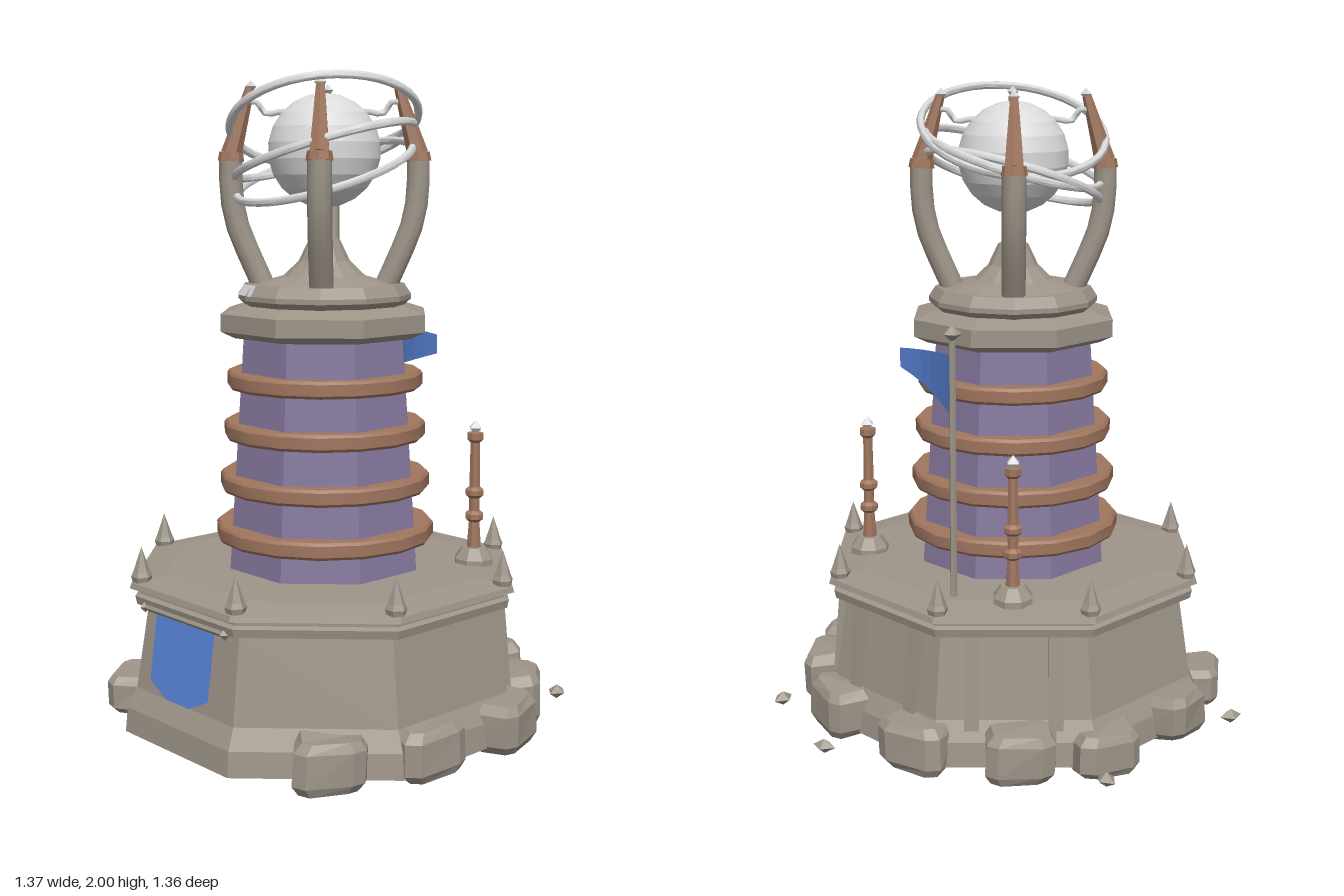
import * as THREE from 'three';
import { toCreasedNormals } from 'three/addons/utils/BufferGeometryUtils.js';

const paint = (name, color, side = THREE.FrontSide) => {
  const m = new THREE.MeshStandardMaterial({ color, side });
  m.name = name;
  return m;
};
const V = (x, y, z) => new THREE.Vector3(x, y, z);
const CX = 0.026, CZ = 0.087; // axis of the tower

export function createModel() {
  const stone = paint('stone', 0x9e9589);
  const copper = paint('copper', 0xa0765f);
  const purple = paint('purple wall', 0x877a9f);
  const silver = paint('silver', 0xdadada);
  const blue = paint('blue cloth', 0x5a86dc, THREE.DoubleSide);

  const root = new THREE.Group();
  root.name = 'orreryTower';
  const tower = new THREE.Group();
  tower.name = 'tower';
  tower.position.set(CX, 0, CZ);
  root.add(tower);

  // Mesh whose edges stay sharp above the crease angle (0 is fully faceted)
  const add = (parent, name, geo, mat, crease = 0) => {
    let g;
    if (crease) g = toCreasedNormals(geo, crease);
    else {
      g = geo.index ? geo.toNonIndexed() : geo;
      g.computeVertexNormals();
    }
    const mesh = new THREE.Mesh(g, mat);
    mesh.name = name;
    parent.add(mesh);
    return mesh;
  };
  // Lathe with flat sides to the front; widths are given across the flats
  const turned = (parent, name, pts, sides, mat) => {
    const k = 1 / Math.cos(Math.PI / sides);
    const profile = pts.map(([r, y]) => new THREE.Vector2(r * k, y));
    return add(parent, name, new THREE.LatheGeometry(profile, sides, Math.PI / sides), mat);
  };
  // Straight tapered rod between two points
  const rod = (parent, name, a, b, r0, r1, mat, sides = 8) => {
    const d = b.clone().sub(a);
    const m = add(parent, name, new THREE.CylinderGeometry(r1, r0, d.length(), sides), mat);
    m.position.copy(a).add(b).multiplyScalar(0.5);
    m.quaternion.setFromUnitVectors(V(0, 1, 0), d.normalize());
    return m;
  };

  // Hollow octagonal base with flared foot, moulded rim and deck
  turned(tower, 'base', [
    [0, 0.41], [0.47, 0.41], [0.55, 0.035], [0.595, 0.035], [0.588, 0.11], [0.56, 0.17],
    [0.522, 0.425], [0.555, 0.43], [0.56, 0.455], [0.545, 0.462], [0.545, 0.472],
    [0.575, 0.48], [0.57, 0.497], [0.47, 0.512], [0, 0.512]], 8, stone);

  // Paired pilasters on the three rear walls
  for (const turn of [-1, 0, 1]) {
    const wall = new THREE.Group();
    wall.name = 'rearWall';
    wall.rotation.y = Math.PI + turn * Math.PI / 4;
    tower.add(wall);
    for (const x of [-0.125, 0.125]) {
      const pilaster = add(wall, 'pilaster', new THREE.BoxGeometry(0.045, 0.29, 0.035), stone);
      pilaster.position.set(x, 0.285, 0.548);
      pilaster.rotation.x = -0.09;
    }
  }

  // Corner spikes on the rim
  for (let i = 0; i < 8; i++) {
    const a = (i + 0.5) * Math.PI / 4;
    const spike = turned(tower, 'rimSpike',
      [[0.022, 0.49], [0.028, 0.515], [0.022, 0.53], [0, 0.605]], 6, stone);
    spike.position.set(Math.sin(a) * 0.585, 0, Math.cos(a) * 0.585);
  }

  // Tower shaft, copper bands and stone crown
  turned(tower, 'shaft', [[0.285, 0.505], [0.238, 1.24]], 8, purple);
  for (const [y, r] of [[0.62, 0.338], [0.775, 0.324], [0.935, 0.311], [1.09, 0.301]]) {
    const profile = [[0.23, -0.026], [r - 0.007, -0.026], [r, -0.017], [r, 0.017], [r - 0.007, 0.026], [0.23, 0.026]];
    const band = new THREE.LatheGeometry(profile.map(([x, h]) => new THREE.Vector2(x, h)), 16);
    add(tower, 'copperBand', band, copper, 0.6).position.y = y;
  }
  turned(tower, 'crown', [[0.22, 1.22], [0.265, 1.222], [0.305, 1.243], [0.305, 1.296],
    [0.24, 1.318], [0, 1.32]], 8, stone);
  turned(tower, 'domeAndHub', [[0.235, 1.315], [0.255, 1.335], [0.255, 1.35], [0.235, 1.382],
    [0.205, 1.38], [0.12, 1.405], [0.075, 1.45], [0.045, 1.515], [0, 1.515]], 12, stone);
  const inlay = new THREE.CylinderGeometry(0.248, 0.267, 0.032, 2, 1, true, -Math.PI * 0.29, Math.PI * 0.25);
  add(tower, 'rimInlay', inlay, silver).position.y = 1.366;

  // Four curved arms with copper spires and sphere clasps
  for (let i = 0; i < 4; i++) {
    const arm = new THREE.Group();
    arm.name = 'arm';
    arm.rotation.y = (i + 0.5) * Math.PI / 2;
    tower.add(arm);
    const at = (o, y) => V(0, y, o * Math.SQRT2);
    const curve = new THREE.CatmullRomCurve3(
      [at(0.128, 1.36), at(0.172, 1.5), at(0.192, 1.58), at(0.2, 1.67), at(0.2, 1.76)]);
    add(arm, 'armPost', new THREE.TubeGeometry(curve, 6, 0.036, 10), stone, 0.9);
    rod(arm, 'collar', at(0.2, 1.748), at(0.199, 1.775), 0.04, 0.036, copper);
    rod(arm, 'spire', at(0.199, 1.77), at(0.158, 1.965), 0.032, 0.014, copper, 6);
    add(arm, 'spireTip', new THREE.OctahedronGeometry(0.018), silver).position.copy(at(0.156, 1.97));
    const clasp = new THREE.CatmullRomCurve3([at(0.168, 1.92), at(0.145, 1.925), at(0.125, 1.89), at(0.085, 1.895), at(0.08, 1.88)]);
    add(arm, 'clasp', new THREE.TubeGeometry(clasp, 8, 0.01, 6), silver, 1.5);
  }

  // Banded sphere and its tilted rings (height, slope along x, slope along z)
  add(tower, 'sphere', new THREE.SphereGeometry(0.171, 32, 11), silver, 0.24).position.y = 1.78;
  for (const [y, sx, sz, r] of [[1.865, 0.42, 0.25, 0.285], [1.78, 0.28, -0.14, 0.28], [1.72, 0.03, -0.36, 0.275]]) {
    const ring = add(tower, 'orbitRing', new THREE.TorusGeometry(r, 0.0125, 8, 40), silver, 1.5);
    ring.position.y = y;
    ring.quaternion.setFromUnitVectors(V(0, 0, 1), V(-sx, 1, -sz).normalize());
  }

  // Two lamp posts on the deck
  for (const x of [-0.3, 0.355]) {
    const lamp = new THREE.Group();
    lamp.name = 'lampPost';
    lamp.position.set(x, 0, -0.243);
    root.add(lamp);
    turned(lamp, 'lampFoot', [[0.058, 0.505], [0.058, 0.525], [0.035, 0.56], [0, 0.56]], 8, stone);
    turned(lamp, 'lampStem', [[0.022, 0.55], [0.016, 0.64], [0.027, 0.65], [0.027, 0.665], [0.016, 0.675],
      [0.016, 0.715], [0.027, 0.725], [0.027, 0.74], [0.016, 0.75], [0.014, 0.89],
      [0.024, 0.9], [0.024, 0.92], [0, 0.925]], 8, copper);
    add(lamp, 'lampCrystal', new THREE.OctahedronGeometry(0.024), silver).position.y = 0.935;
  }

  // Flagpole with a tapering, curling flag
  const px = -0.151, pz = -0.343;
  rod(root, 'flagPole', V(px, 0.5, pz), V(px, 1.29, pz), 0.011, 0.01, stone, 6);
  turned(root, 'flagFinial', [[0, 1.285], [0.024, 1.31], [0, 1.335]], 5, stone).position.set(px, 0, pz);
  const flag = new THREE.PlaneGeometry(1, 1, 6, 1);
  const fp = flag.attributes.position;
  for (let i = 0; i < fp.count; i++) {
    const t = fp.getX(i) + 0.5, top = fp.getY(i) > 0;
    const y = top ? 1.245 - 0.035 * t : 1.06 + 0.09 * t;
    fp.setXYZ(i, px + 0.33 * t, y, pz + 0.09 * Math.sin(t * Math.PI / 2));
  }
  add(root, 'flag', flag, blue);

  // Front banner hung from a rod
  const cloth = new THREE.Shape([[-0.138, 0], [-0.138, -0.2], [-0.055, -0.24], [0.055, -0.24],
    [0.138, -0.2], [0.138, 0]].map(([x, y]) => new THREE.Vector2(x, y)));
  const banner = add(root, 'banner', new THREE.ShapeGeometry(cloth), blue);
  banner.position.set(CX, 0.42, 0.636);
  banner.rotation.x = -0.14;
  rod(root, 'bannerRod', V(CX - 0.185, 0.43, 0.64), V(CX + 0.185, 0.43, 0.64), 0.01, 0.01, stone, 6);
  for (const x of [-0.19, 0.19])
    add(root, 'rodKnob', new THREE.OctahedronGeometry(0.019), stone).position.set(CX + x, 0.43, 0.64);

  // Boulders around the foot (x, z, height): chamfered, uneven blocks with earthy undersides
  const boulders = [[-0.155, -0.497, 0.15], [0.208, -0.497, 0.15], [0.465, -0.335, 0.16], [0.598, -0.12, 0.15],
    [0.598, 0.21, 0.15], [0.478, 0.48, 0.15], [-0.435, 0.488, 0.12], [-0.555, 0.22, 0.14],
    [-0.555, -0.11, 0.13], [-0.42, -0.335, 0.15]];
  const square = (v) => Math.sign(v) * Math.abs(v) ** 0.5;
  boulders.forEach(([x, z, h], n) => {
    const g = new THREE.CylinderGeometry(1, 1, 1, 8, 3, false, Math.PI / 8).toNonIndexed();
    const p = g.attributes.position;
    for (let i = 0; i < p.count; i++) {
      const vx = p.getX(i), vy = p.getY(i), vz = p.getZ(i);
      const corner = Math.sign(vx) * 1.3 + Math.sign(vz) * 2.1;
      const end = Math.abs(vy) > 0.4;
      const k = (1 + 0.08 * Math.sin(corner + n * 1.7 + vy * 2)) * (end ? 0.8 : 1);
      const y = (end ? vy : vy * 1.9) * h + 0.006 * Math.sin(corner + n);
      p.setXYZ(i, square(vx) * 0.108 * k, y, square(vz) * 0.074 * k);
    }
    const rock = add(root, 'boulder', g, [stone, stone, copper]);
    rock.position.set(x, 0.016 + h / 2 + 0.006 * Math.sin(n * 2.1), z);
    rock.rotation.y = Math.atan2(x - CX, z - CZ);
  });

  // Loose stones
  [[0.097, -0.655], [0.462, -0.535], [-0.65, -0.21], [-0.65, 0.39]].forEach(([x, z], n) => {
    const chip = add(root, 'looseStone', new THREE.OctahedronGeometry(0.036), stone);
    chip.position.set(x, 0.045, z);
    chip.scale.set(1.05, 0.65, 0.8);
    chip.rotation.y = n * 1.3 + 0.4;
  });

  return root;
}
